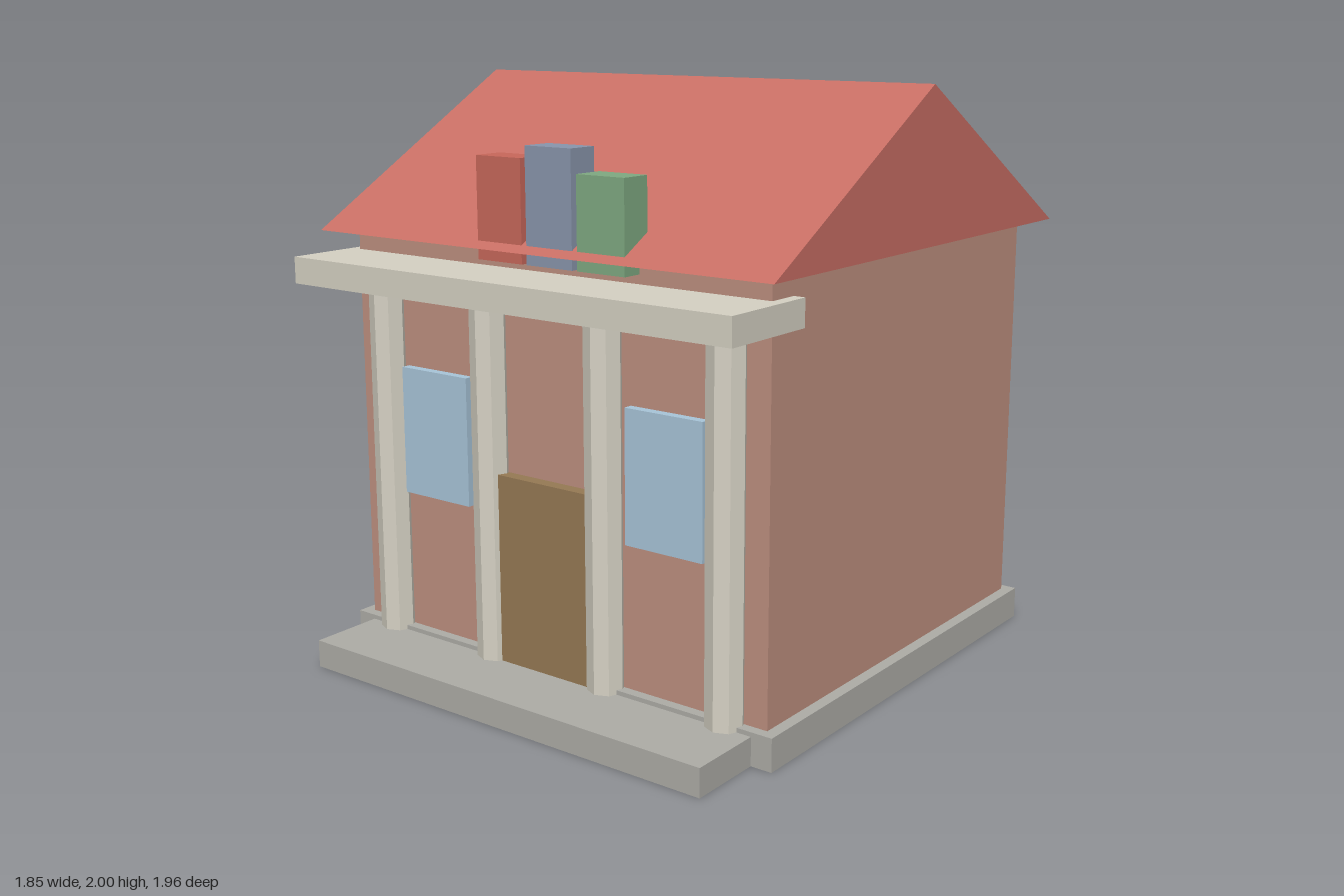
import * as THREE from 'three';

const mat = (color) => new THREE.MeshStandardMaterial({ color, flatShading: true });
const stone = mat(0xaeada7), cream = mat(0xd6d2c4), brick = mat(0xbf9080), tile = mat(0xc86e64);
const wood = mat(0x977a55), glass = mat(0xa9c6da);

export function createModel() {
  const house = new THREE.Group();
  house.name = 'house';

  const add = (name, geometry, material, parent = house) => {
    const mesh = new THREE.Mesh(geometry, material);
    mesh.name = name;
    parent.add(mesh);
    return mesh;
  };
  // Box given by its limits on each axis
  const box = (name, [x0, x1], [y0, y1], [z0, z1], material, parent) => {
    const mesh = add(name, new THREE.BoxGeometry(x1 - x0, y1 - y0, z1 - z0), material, parent);
    mesh.position.set((x0 + x1) / 2, (y0 + y1) / 2, (z0 + z1) / 2);
    return mesh;
  };

  // Foundation, walls and porch
  box('foundation', [-0.89, 0.89], [0, 0.11], [-0.905, 0.725], stone);
  box('walls', [-0.85, 0.85], [0.01, 1.49], [-0.87, 0.69], brick);
  box('porchFloor', [-0.815, 0.815], [0, 0.095], [0.58, 0.985], stone);
  box('porchBeam', [-0.89, 0.89], [1.33, 1.42], [0.58, 0.945], cream);

  // Eight-sided porch columns
  const columns = new THREE.Group();
  columns.name = 'columns';
  house.add(columns);
  for (const x of [-0.705, -0.24, 0.24, 0.705]) {
    const column = add('column', new THREE.CylinderGeometry(0.065, 0.065, 1.32, 8), cream, columns);
    column.position.set(x, 0.67, 0.704);
  }

  // Door and windows
  box('door', [-0.187, 0.187], [0.03, 0.74], [0.67, 0.735], wood);
  for (const [name, x] of [['rightWindow', -0.482], ['leftWindow', 0.482]])
    box(name, [x - 0.148, x + 0.148], [0.6, 1.04], [0.67, 0.722], glass);

  // Gable roof: a triangle in (-z, y) swept along x
  const gable = new THREE.Shape([
    new THREE.Vector2(-0.795, 1.49),
    new THREE.Vector2(0.975, 1.49),
    new THREE.Vector2(0.09, 2),
  ]);
  const roofGeometry = new THREE.ExtrudeGeometry(gable, { depth: 1.85, bevelEnabled: false });
  roofGeometry.translate(0, 0, -0.925).rotateY(Math.PI / 2);
  add('roof', roofGeometry, tile);

  // Three coloured blocks standing on the front slope
  const blocks = new THREE.Group();
  blocks.name = 'roofBlocks';
  house.add(blocks);
  [['redBlock', -0.225, 1.78, 0xc9685b], ['blueBlock', -0.02, 1.82, 0x8a97ad], ['greenBlock', 0.185, 1.745, 0x80aa82]]
    .forEach(([name, x, top, color]) =>
      box(name, [x, x + 0.185], [1.45, top], [0.65, 0.76], mat(color), blocks));

  return house;
}
